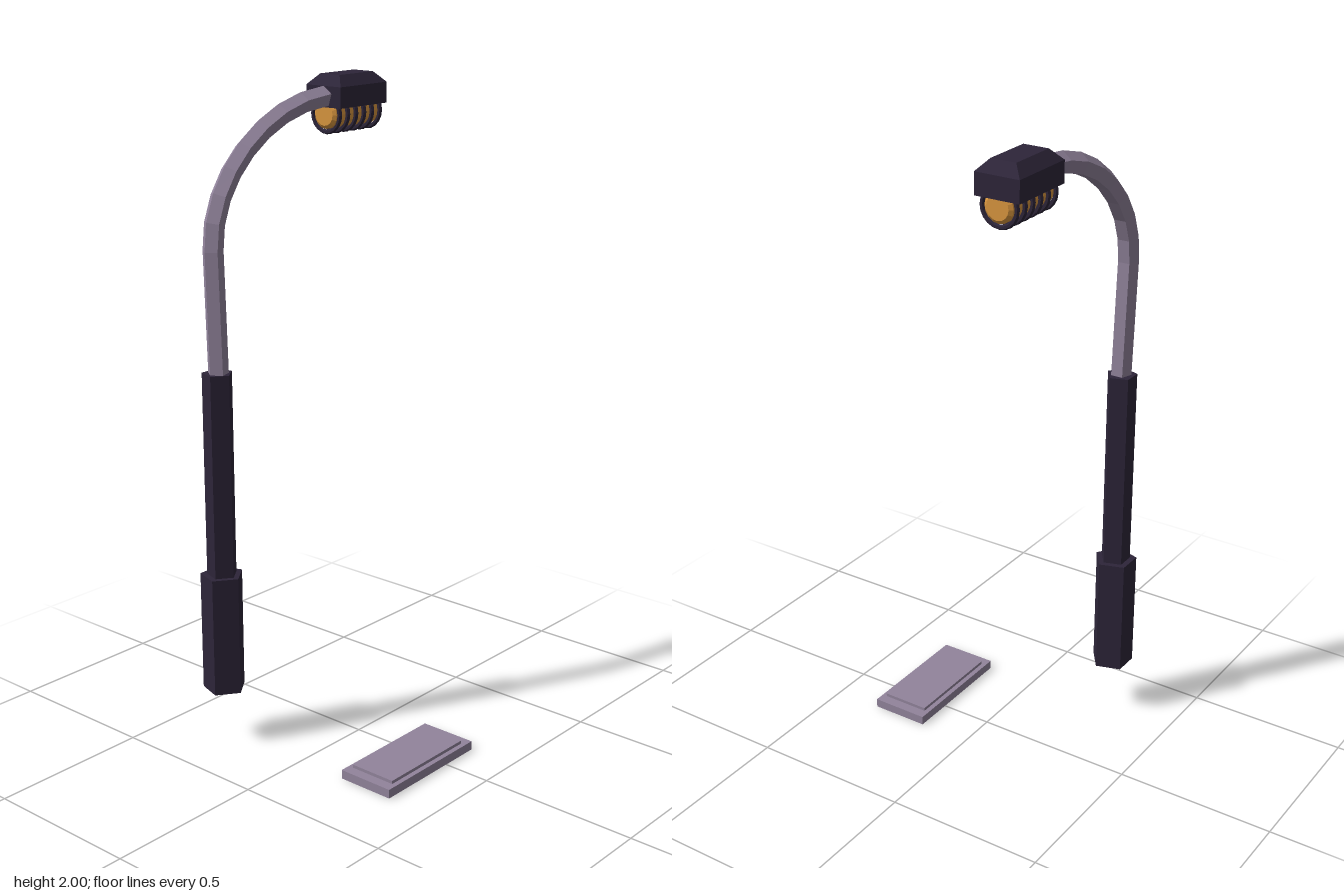
import * as THREE from 'three';

const dark = new THREE.MeshStandardMaterial({ color: 0x2d2539, flatShading: true });
const mauve = new THREE.MeshStandardMaterial({ color: 0x92849c, flatShading: true });
const amber = new THREE.MeshStandardMaterial({ color: 0xd9963f, flatShading: true });

function add(parent, name, geometry, material, x = 0, y = 0, z = 0) {
  const mesh = new THREE.Mesh(geometry, material);
  mesh.name = name;
  mesh.position.set(x, y, z);
  parent.add(mesh);
  return mesh;
}

// Upright five-sided post section with one corner towards +x
function postSection(radius, bottom, top) {
  return new THREE.CylinderGeometry(radius, radius, top - bottom, 5)
    .rotateY(Math.PI / 2).translate(0, (bottom + top) / 2, 0);
}

// Five-sided tube swept along points, one corner on the outside of the bend
function sweptTube(points, radius, sides = 5) {
  const side = new THREE.Vector3(1, 0, 0);
  const pos = [], index = [];
  points.forEach((p, i) => {
    const tangent = points[Math.min(i + 1, points.length - 1)].clone()
      .sub(points[Math.max(i - 1, 0)]).setX(0).normalize();
    const outer = side.clone().cross(tangent);
    for (let k = 0; k < sides; k++) {
      const a = (k / sides) * Math.PI * 2;
      const v = p.clone().addScaledVector(outer, radius * Math.cos(a))
        .addScaledVector(side, radius * Math.sin(a));
      pos.push(v.x, v.y, v.z);
      if (i === 0) continue;
      const n = (k + 1) % sides, lo = (i - 1) * sides, hi = i * sides;
      index.push(lo + k, lo + n, hi + n, lo + k, hi + n, hi + k);
    }
  });
  const g = new THREE.BufferGeometry();
  g.setAttribute('position', new THREE.Float32BufferAttribute(pos, 3));
  g.setIndex(index);
  g.computeVertexNormals();
  return g;
}

// Box whose upper ring is drawn in to make a sloped roof
function chamferedBox(w, d, bottom, shoulder, top, inset) {
  const g = new THREE.BoxGeometry(w, top - bottom, d, 1, 2, 1).translate(0, (top + bottom) / 2, 0);
  const p = g.attributes.position;
  const mid = (top + bottom) / 2;
  for (let i = 0; i < p.count; i++) {
    const y = p.getY(i);
    if (y > mid + 1e-4) {
      p.setX(i, p.getX(i) - Math.sign(p.getX(i)) * inset);
      p.setZ(i, p.getZ(i) - Math.sign(p.getZ(i)) * inset);
    } else if (y > mid - 1e-4) p.setY(i, shoulder);
  }
  g.computeVertexNormals();
  return g;
}

export function createModel() {
  const model = new THREE.Group();
  model.name = 'streetLamp';

  // Post
  add(model, 'postBase', postSection(0.067, 0.175, 0.55), dark, -0.278, 0, 0.31);
  add(model, 'postSleeve', postSection(0.047, 0.5, 1.18), dark, -0.277, 0, 0.31);

  // Curved arm: straight rise, then a quarter bend towards the back
  const bend = new THREE.CubicBezierCurve3(
    new THREE.Vector3(-0.283, 1.54, 0.312),
    new THREE.Vector3(-0.288, 1.75, 0.312),
    new THREE.Vector3(-0.286, 1.93, 0.09),
    new THREE.Vector3(-0.278, 1.936, -0.16));
  const path = [new THREE.Vector3(-0.272, 1.14, 0.312), ...bend.getPoints(8),
    new THREE.Vector3(-0.277, 1.937, -0.19)];
  add(model, 'arm', sweptTube(path, 0.032), mauve);

  // Lamp head
  const head = new THREE.Group();
  head.name = 'lampHead';
  head.position.set(-0.28, 0, -0.2695);
  model.add(head);
  add(head, 'housing', chamferedBox(0.137, 0.213, 1.905, 1.968, 2.0, 0.03), dark);

  // Bulb: drum with bevelled ends, lying along z
  const profile = [[0, -0.104], [0.034, -0.104], [0.044, -0.096],
    [0.044, 0.096], [0.034, 0.104], [0, 0.104]].map(([r, y]) => new THREE.Vector2(r, y));
  add(head, 'bulb', new THREE.LatheGeometry(profile, 16).rotateX(Math.PI / 2), amber, 0, 1.883, 0);

  // Guard ribs around the bulb
  for (let i = 0; i < 6; i++) {
    add(head, 'guardRib', new THREE.TorusGeometry(0.053, 0.0075, 6, 20), dark,
      0, 1.883, -0.0925 + i * 0.037);
  }

  // Low ground slab with a raised panel
  const slab = new THREE.Group();
  slab.name = 'groundSlab';
  slab.position.set(0.2565, 0, 0.072);
  model.add(slab);
  add(slab, 'slabBase', new THREE.BoxGeometry(0.183, 0.028, 0.396), mauve, 0, 0.014, 0);
  add(slab, 'slabPanel', new THREE.BoxGeometry(0.152, 0.02, 0.331), mauve, 0, 0.028, 0);

  return model;
}
